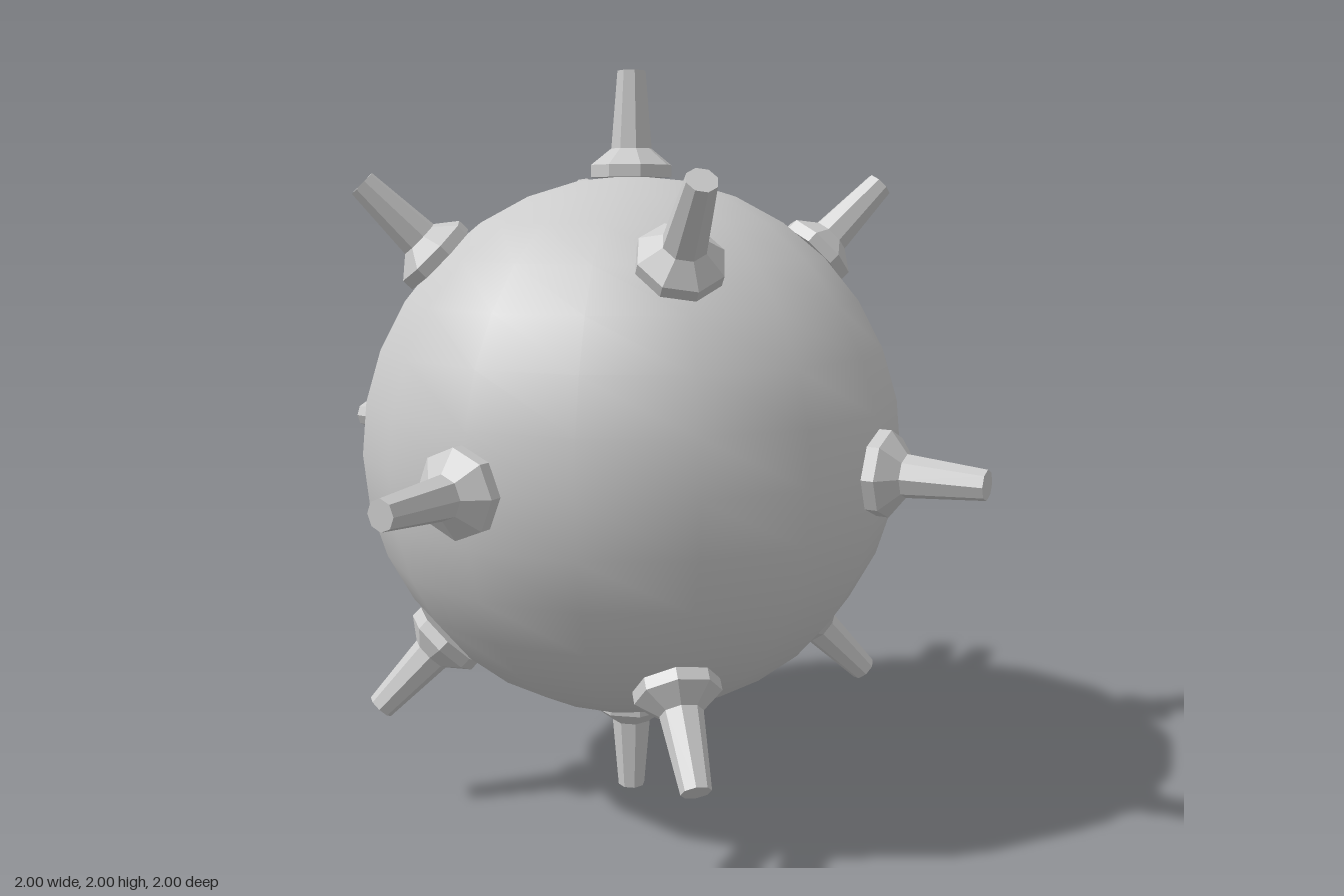
import * as THREE from 'three';

export function createModel() {
  const model = new THREE.Group();
  model.name = 'spikedBall';
  const smooth = new THREE.MeshStandardMaterial({ color: 0xcccccc });
  const faceted = new THREE.MeshStandardMaterial({ color: 0xcccccc, flatShading: true });

  // Smooth round body
  const body = new THREE.Mesh(new THREE.SphereGeometry(0.73, 16, 16), smooth);
  body.name = 'body';
  body.position.y = 1;
  model.add(body);

  // Eight-sided spike: flange, sloped collar, tapered shaft, flat tip
  // (heights are measured from the body centre)
  const profile = [
    [0, 0.725], [0.11, 0.725], [0.11, 0.757], [0.055, 0.8], [0.038, 1], [0, 1],
  ].map(([r, h]) => new THREE.Vector2(r, h));
  const spikeGeometry = new THREE.LatheGeometry(profile, 8);

  // Tilt away from vertical, then turn around the body
  function addSpike(name, tilt, turn, twist = 0) {
    const spike = new THREE.Mesh(spikeGeometry, faceted);
    spike.name = name;
    spike.position.y = 1;
    spike.rotation.set(tilt, turn, 0, 'YXZ');
    spike.rotateY(twist);
    model.add(spike);
  }

  addSpike('topSpike', 0, 0);
  addSpike('bottomSpike', Math.PI, 0);
  for (let i = 0; i < 4; i++) {
    const turn = (i * Math.PI) / 2;
    addSpike('middleSpike', Math.PI / 2, turn);
    addSpike('upperSpike', Math.PI / 4, turn + Math.PI / 4, Math.PI / 16);
    addSpike('lowerSpike', (3 * Math.PI) / 4, turn + Math.PI / 4, Math.PI / 16);
  }
  return model;
}
